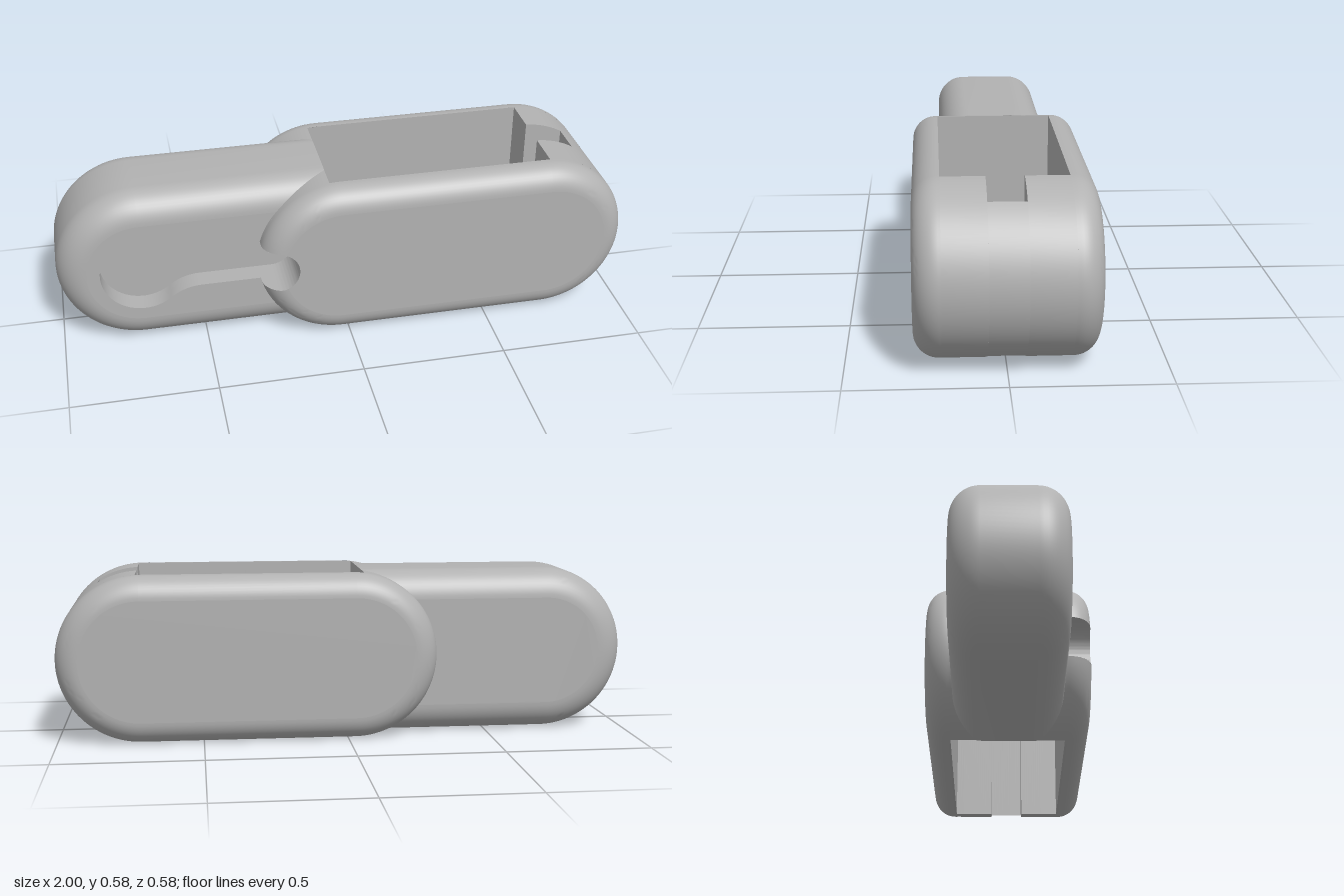
import * as THREE from 'three';
import { toCreasedNormals } from 'three/addons/utils/BufferGeometryUtils.js';

const R = 0.288;                                        // half height of both bodies
const SLEEVE = { left: -0.025, right: 0.712, half: 0.288, fillet: 0.08 };
const TONGUE = { left: -0.712, end: -0.06, half: 0.19, fillet: 0.1 };
const HOLE = { x0: -0.06, x1: 0.725, x2: 0.86, z: 0.2, notch: 0.06 };
const SLOT = { x: -0.255, r: 0.075, floor: 0.115 };     // rounded end of the keyhole
const flatR = R - SLEEVE.fillet, flatZ = SLEEVE.half - SLEEVE.fillet;

const grey = new THREE.MeshStandardMaterial({ color: 0xb2b2b2, side: THREE.DoubleSide });
grey.name = 'plain grey';

// Points [x, y] on an arc
function arc(cx, cy, r, a0, a1, n = 24) {
  return Array.from({ length: n + 1 }, (_, i) => {
    const a = a0 + (a1 - a0) * i / n;
    return [cx + r * Math.cos(a), cy + r * Math.sin(a)];
  });
}

// Surface through rows of equally many [x, y, z] points
function grid(rows) {
  const n = rows[0].length, index = [];
  for (let i = 0; i < rows.length - 1; i++) {
    for (let j = 0; j < n - 1; j++) {
      const a = i * n + j, d = a + n;
      index.push(a, a + 1, d + 1, a, d + 1, d);
    }
  }
  const g = new THREE.BufferGeometry();
  g.setAttribute('position', new THREE.Float32BufferAttribute(rows.flat(2), 3));
  g.setIndex(index);
  return toCreasedNormals(g, 0.6);
}

const atZ = (pts, z) => pts.map(([x, y]) => [x, y, z]);
const band = (pts, z0, z1) => grid([atZ(pts, z0), atZ(pts, z1)]);
const vectors = (pts) => pts.map(([x, y]) => new THREE.Vector2(x, y));

// Flat face at z, facing forward or back
function face(pts, z, hole, back = false) {
  const shape = new THREE.Shape(vectors(back ? pts.map(([x, y]) => [-x, y]) : pts));
  if (hole) shape.holes.push(new THREE.Path(vectors(hole)));
  const g = new THREE.ShapeGeometry(shape);
  if (back) g.rotateY(Math.PI);
  return g.translate(0, 0, z);
}

// Quarter-round steps as [radius, z], from the band outwards
function filletSteps(half, f, n = 12) {
  return Array.from({ length: n + 1 }, (_, i) => {
    const a = i / n * Math.PI / 2;
    return [R - f + f * Math.cos(a), half - f + f * Math.sin(a)];
  });
}

// Half height at which the slot crosses the sleeve's left arc of radius r
function slotHalf(r) {
  const d = SLEEVE.left - SLOT.x;
  if (r * r > d * d + SLOT.r * SLOT.r) return SLOT.r;
  const a = (d * d + r * r - SLOT.r * SLOT.r) / (2 * d);
  return Math.sqrt(r * r - a * a);
}

// Sleeve outline, optionally left open where the slot passes
function sleeveOutline(r, open) {
  const gap = open ? Math.asin(slotHalf(r) / r) : 0;
  return [
    ...arc(SLEEVE.left, 0, r, Math.PI + gap, 1.5 * Math.PI),
    ...arc(SLEEVE.right, 0, r, -Math.PI / 2, Math.PI / 2, 48),
    ...arc(SLEEVE.left, 0, r, Math.PI / 2, Math.PI - gap),
  ];
}

function tongueOutline(r) {
  return [[TONGUE.end, r], ...arc(TONGUE.left, 0, r, Math.PI / 2, 1.5 * Math.PI, 48), [TONGUE.end, -r]];
}

// Keyhole: round pocket, blended neck, straight slot with round end
function keyholeOutline() {
  const blend = 0.176, cx = -0.51, cy = SLOT.r + blend;
  const a = Math.atan2(cy, cx + 0.71);
  const lip = SLEEVE.left - Math.sqrt(R * R - SLOT.r * SLOT.r);
  const upper = [
    ...arc(-0.71, 0, 0.145, Math.PI, a, 28),
    ...arc(cx, cy, blend, Math.PI + a, 1.5 * Math.PI, 12).slice(1),
    [lip - 0.0005, SLOT.r],
    ...Array.from({ length: 10 }, (_, i) => [lip + 0.0005 + (SLOT.x - lip) * i / 10, SLOT.r]),
    ...arc(SLOT.x, 0, SLOT.r, Math.PI / 2, 0, 20),
  ];
  return [...upper, ...upper.slice(1, -1).reverse().map(([x, y]) => [x, -y])];
}

// Height of the front surface along the keyhole edge
function frontZ([x, y]) {
  const d = Math.hypot(x - SLEEVE.left, y);
  if (x > SLEEVE.left || d <= flatR) return SLEEVE.half;
  if (d > R) return TONGUE.half;
  return flatZ + Math.sqrt(Math.max(0, SLEEVE.fillet ** 2 - (d - flatR) ** 2));
}

// Half height of the sleeve at x
function sleeveHalf(x) {
  const dx = Math.max(SLEEVE.left - x, x - SLEEVE.right, 0);
  return Math.sqrt(R * R - dx * dx);
}

export function createModel() {
  const model = new THREE.Group();
  model.name = 'cableHolder';
  const body = new THREE.Group();
  body.name = 'body';
  body.position.y = R;
  model.add(body);
  const add = (name, geometry) => {
    const m = new THREE.Mesh(geometry, grey);
    m.name = name;
    body.add(m);
  };

  // Narrow tongue with the keyhole recess
  const key = keyholeOutline();
  const steps = filletSteps(TONGUE.half, TONGUE.fillet);
  add('tongueRim', grid([
    ...[...steps].reverse().map(([r, z]) => atZ(tongueOutline(r), -z)),
    ...steps.map(([r, z]) => atZ(tongueOutline(r), z)),
  ]));
  const tongueFace = tongueOutline(R - TONGUE.fillet);
  add('tongueFront', face(tongueFace, TONGUE.half, key));
  add('tongueBack', face(tongueFace, -TONGUE.half, null, true));
  add('keyholeFloor', face(key, SLOT.floor));
  const loop = [...key, key[0]];
  add('keyholeWall', grid([atZ(loop, SLOT.floor), loop.map((p) => [...p, frontZ(p)])]));

  // Wide sleeve: rounded cheeks and their flat faces
  const rims = filletSteps(SLEEVE.half, SLEEVE.fillet);
  add('sleeveFrontRim', grid([
    atZ(sleeveOutline(R, true), HOLE.z),
    ...rims.map(([r, z]) => atZ(sleeveOutline(r, true), z)),
  ]));
  add('sleeveBackRim', grid([
    ...[...rims].reverse().map(([r, z]) => atZ(sleeveOutline(r, false), -z)),
    atZ(sleeveOutline(R, false), -HOLE.z),
  ]));
  const capAngle = Math.asin(slotHalf(flatR) / SLOT.r);
  add('sleeveFront', face([
    ...sleeveOutline(flatR, true),
    ...arc(SLOT.x, 0, SLOT.r, capAngle, -capAngle, 20).slice(1, -1),
  ], SLEEVE.half));
  add('sleeveBack', face(sleeveOutline(flatR, false), -SLEEVE.half, null, true));

  // Left end of the sleeve, split where the slot passes
  const a0 = Math.acos((HOLE.x0 - SLEEVE.left) / R);
  const gap = Math.asin(SLOT.r / R);
  add('sleeveLeftEnd', band(arc(SLEEVE.left, 0, R, a0, 2 * Math.PI - a0, 40), -HOLE.z, SLOT.floor));
  add('sleeveLeftUpper', band(arc(SLEEVE.left, 0, R, a0, Math.PI - gap), SLOT.floor, HOLE.z));
  add('sleeveLeftLower', band(arc(SLEEVE.left, 0, R, Math.PI + gap, 2 * Math.PI - a0), SLOT.floor, HOLE.z));

  // Right end of the sleeve, on both sides of the notch and behind it
  for (const [x, z0, z1] of [
    [HOLE.x1, -HOLE.z, -HOLE.notch], [HOLE.x2, -HOLE.notch, HOLE.notch], [HOLE.x1, HOLE.notch, HOLE.z],
  ]) {
    const a = Math.acos((x - SLEEVE.right) / R);
    add('sleeveRightEnd', band(arc(SLEEVE.right, 0, R, -a, a, 48), z0, z1));
  }

  // Walls of the through opening and its notch
  const { x0, x1, x2, z, notch } = HOLE;
  const corners = [[x0, -z], [x1, -z], [x1, -notch], [x2, -notch], [x2, notch], [x1, notch], [x1, z], [x0, z], [x0, -z]];
  const path = [corners[0]];
  for (let i = 1; i < corners.length; i++) {
    const [p, q] = [corners[i - 1], corners[i]];
    for (let k = 1; k <= 16; k++) path.push([p[0] + (q[0] - p[0]) * k / 16, p[1] + (q[1] - p[1]) * k / 16]);
  }
  add('openingWalls', grid([-1, 1].map((s) => path.map(([px, pz]) => [px, s * sleeveHalf(px), pz]))));

  return model;
}
